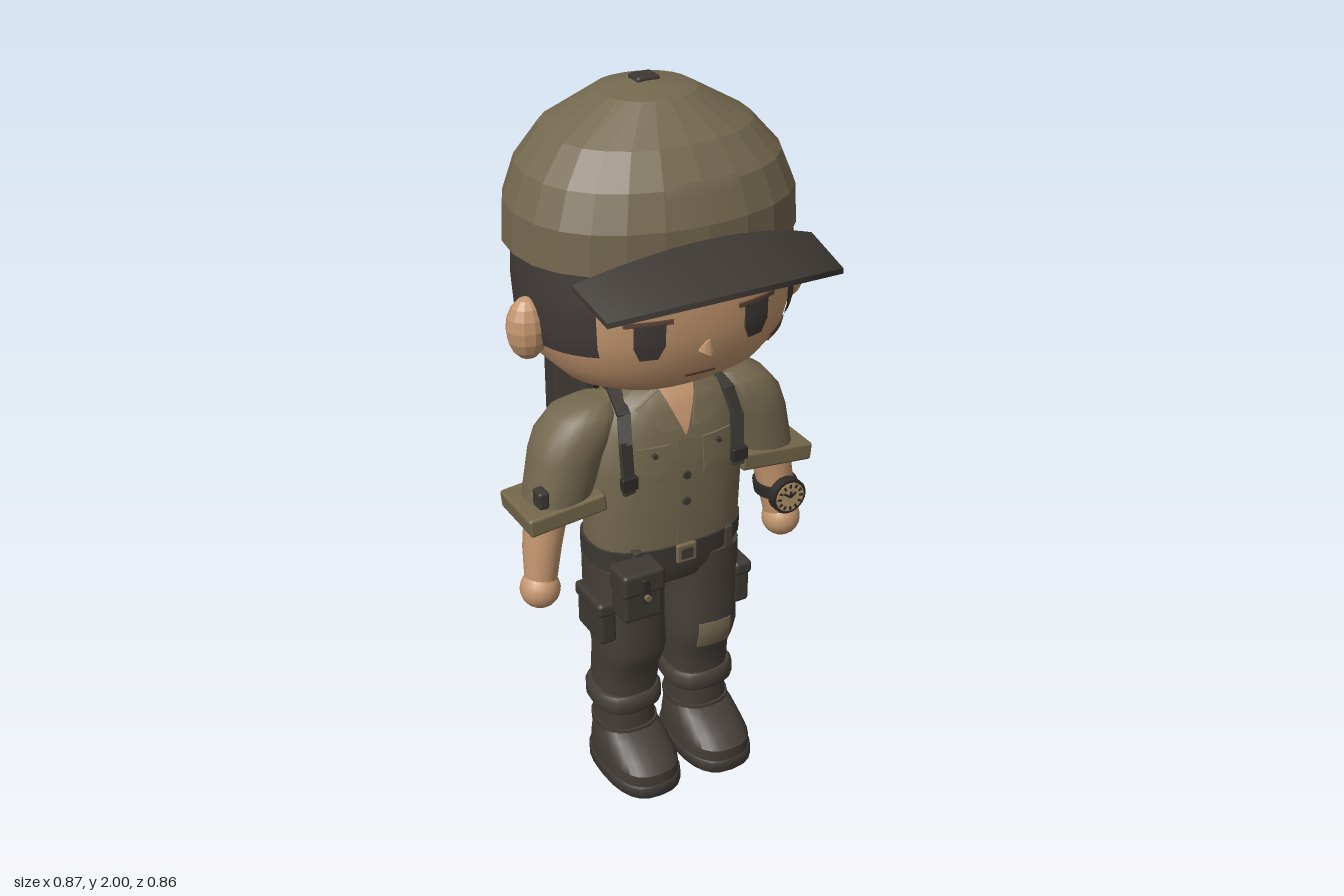
import * as THREE from 'three';
import { toCreasedNormals } from 'three/addons/utils/BufferGeometryUtils.js';
import { RoundedBoxGeometry } from 'three/addons/geometries/RoundedBoxGeometry.js';

const colour = (name, hex, side = THREE.FrontSide) => {
  const m = new THREE.MeshStandardMaterial({ color: hex, side });
  m.name = name;
  return m;
};

// Rings are [y, centre x, centre z, half width, half depth], bottom to top.
const span = (y, rx, front, back) => [y, 0, (front + back) / 2, rx, (front - back) / 2];
const HEAD = [span(1.235, 0.1, 0.02, -0.15), span(1.25, 0.19, 0.085, -0.2), span(1.29, 0.275, 0.14, -0.265),
  span(1.35, 0.332, 0.175, -0.31), span(1.43, 0.358, 0.188, -0.338), span(1.52, 0.362, 0.19, -0.35),
  span(1.62, 0.355, 0.18, -0.355), span(1.7, 0.34, 0.16, -0.34)];
const CAP = [span(1.615, 0.38, 0.195, -0.402), span(1.72, 0.374, 0.194, -0.402), span(1.81, 0.338, 0.165, -0.385),
  span(1.89, 0.268, 0.103, -0.345), span(1.972, 0.125, 0.0, -0.24), span(1.99, 0.03, -0.1, -0.16)];
const TORSO = [span(0.73, 0.218, 0.083, -0.19), span(0.8, 0.222, 0.085, -0.18), span(1.0, 0.228, 0.09, -0.172),
  span(1.12, 0.215, 0.08, -0.168), span(1.19, 0.17, 0.055, -0.152), span(1.225, 0.1, 0.03, -0.13)];

const power = (v, p) => Math.sign(v) * Math.abs(v) ** (2 / p);
function ringAt(rings, y) {
  let i = 0;
  while (i < rings.length - 2 && y > rings[i + 1][0]) i++;
  const f = THREE.MathUtils.clamp((y - rings[i][0]) / (rings[i + 1][0] - rings[i][0]), 0, 1);
  return rings[i].map((v, k) => v + (rings[i + 1][k] - v) * f);
}
function frontZ(rings, p, x, y) {
  const [, cx, cz, rx, rz] = ringAt(rings, y);
  return cz + rz * Math.max(0, 1 - Math.abs((x - cx) / rx) ** p) ** (1 / p);
}
function indexed(pos, idx) {
  const g = new THREE.BufferGeometry();
  g.setAttribute('position', new THREE.Float32BufferAttribute(pos, 3));
  g.setIndex(idx);
  return g;
}
// Closed solid through superelliptic rings
function loft(rings, { n = 24, p = 2.2, crease = 0.7 } = {}) {
  const pos = [], idx = [], last = rings.length - 1;
  for (const [y, cx, cz, rx, rz] of rings) for (let j = 0; j < n; j++) {
    const t = j / n * Math.PI * 2;
    pos.push(cx + rx * power(Math.sin(t), p), y, cz + rz * power(Math.cos(t), p));
  }
  for (const r of [rings[0], rings[last]]) pos.push(r[1], r[0], r[2]);
  for (let j = 0; j < n; j++) {
    const k = (j + 1) % n;
    for (let i = 0; i < last; i++) {
      const a = i * n + j, b = i * n + k;
      idx.push(a, b, b + n, a, b + n, a + n);
    }
    idx.push((last + 1) * n, k, j, (last + 1) * n + 1, last * n + j, last * n + k);
  }
  return toCreasedNormals(indexed(pos, idx), crease);
}
// Thin plate laid over the front of a lofted body; corners run bl, br, tr, tl
function plate(rings, p, c, off = 0.002, depth = 0.007) {
  const g = new THREE.BoxGeometry(1, 1, depth, 6, 6, 1), a = g.attributes.position;
  for (let i = 0; i < a.count; i++) {
    const u = a.getX(i) + 0.5, v = a.getY(i) + 0.5;
    const [x, y] = [0, 1].map(k => (c[0][k] * (1 - u) + c[1][k] * u) * (1 - v) + (c[3][k] * (1 - u) + c[2][k] * u) * v);
    a.setXYZ(i, x, y, frontZ(rings, p, x, y) + off + a.getZ(i));
  }
  return toCreasedNormals(g, 0.6);
}
function rect(x, y, w, h, turn = 0) {
  const c = Math.cos(turn), s = Math.sin(turn);
  return [[-1, -1], [1, -1], [1, 1], [-1, 1]].map(([i, j]) =>
    [x + i * w / 2 * c - j * h / 2 * s, y + i * w / 2 * s + j * h / 2 * c]);
}

export function createModel() {
  const root = new THREE.Group();
  const skin = colour('skin', 0xc4976f), shirt = colour('olive cloth', 0x74684f), trim = colour('light olive trim', 0x74674a);
  const hair = colour('dark hair', 0x403a36, THREE.DoubleSide), pants = colour('dark trousers', 0x463f38);
  const leather = colour('dark leather', 0x3d3833), boot = colour('boot brown', 0x423b35);
  const black = colour('near black', 0x2e2a28), brown = colour('brown marks', 0x5f4738), tan = colour('tan dial', 0xb59466);
  const add = (name, geo, mat, x = 0, y = 0, z = 0) => {
    const m = new THREE.Mesh(geo, mat);
    m.name = name;
    m.position.set(x, y, z);
    root.add(m);
    return m;
  };
  const rbox = (name, mat, x, y, z, w, h, d, r = 0.012) => add(name, new RoundedBoxGeometry(w, h, d, 2, r), mat, x, y, z);
  const disc = (name, mat, x, y, z, r, d) => {
    const m = add(name, new THREE.CylinderGeometry(r, r, d, 20), mat, x, y, z);
    m.rotation.x = Math.PI / 2;
    return m;
  };
  const strip = (name, mat, pts, w, d) => pts.slice(1).forEach((q, i) => {
    const a = new THREE.Vector3(...pts[i]), b = new THREE.Vector3(...q);
    const m = add(name, new THREE.BoxGeometry(w, d, a.distanceTo(b) + d * 0.6), mat);
    m.position.copy(a).lerp(b, 0.5);
    m.lookAt(b);
  });

  // Head and face
  add('head', loft(HEAD, { n: 40, p: 2.3, crease: 1 }), skin);
  add('neck', new THREE.CylinderGeometry(0.085, 0.09, 0.08, 20), skin, 0, 1.225, -0.055);
  const nose = add('nose', new THREE.ConeGeometry(0.024, 0.042, 4), skin, 0, 1.41, 0.198);
  nose.rotation.x = 0.5;
  const face = (name, mat, x, y, w, h, turn) => add(name, plate(HEAD, 2.3, rect(x, y, w, h, turn)), mat);
  for (const s of [-1, 1]) {
    const ear = add('ear', toCreasedNormals(new THREE.SphereGeometry(1, 12, 8), 0.02), skin, s * 0.375, 1.44, -0.045);
    ear.scale.set(0.056, 0.083, 0.049);
    face('eye', hair, s * 0.151, 1.453, 0.076, 0.062);
    add('eye lower', plate(HEAD, 2.3, [[-0.022, 1.388], [0.022, 1.388], [0.038, 1.424], [-0.038, 1.424]].map(([x, y]) => [x + s * 0.151, y])), hair);
    face('eyelid', brown, s * 0.153, 1.487, 0.12, 0.012);
    face('eyebrow', hair, s * 0.153, 1.532, 0.125, 0.022, s * -0.03);
  }
  face('mouth', brown, 0, 1.315, 0.085, 0.007);
  face('cheek smudge', brown, 0.255, 1.355, 0.068, 0.036, 0.3);

  // Hair shell around the sides and back, lower edge sloping down behind the ears
  const hp = [], hi = [], HN = 40, HV = 8, t0 = 0.78;
  for (let j = 0; j <= HN; j++) for (let i = 0; i <= HV; i++) {
    const t = t0 + (2 * Math.PI - 2 * t0) * j / HN;
    const low = 1.402 - 0.108 * THREE.MathUtils.clamp((0.05 - Math.cos(t)) / 0.85, 0, 1);
    const y = low + (1.63 - low) * i / HV, [, cx, cz, rx, rz] = ringAt(HEAD, y);
    hp.push(cx + (rx + 0.009) * power(Math.sin(t), 2.3), y, cz + (rz + 0.009) * power(Math.cos(t), 2.3));
    if (j < HN && i < HV) {
      const a = j * (HV + 1) + i, b = a + HV + 1;
      hi.push(a, b, b + 1, a, b + 1, a + 1);
    }
  }
  add('hair', toCreasedNormals(indexed(hp, hi), 1), hair);

  // Cap, button, front patch and arched brim
  add('cap', loft(CAP, { n: 24, p: 2.25, crease: 0.02 }), shirt);
  add('cap patch', plate(CAP, 2.25, rect(0, 1.77, 0.2, 0.1), -0.002), shirt);
  rbox('cap button', leather, 0, 1.99, -0.13, 0.064, 0.02, 0.056, 0.008);
  const brim = new THREE.BoxGeometry(2, 0.014, 1, 24, 1, 4), ba = brim.attributes.position;
  for (let i = 0; i < ba.count; i++) {
    const u = ba.getX(i), v = ba.getZ(i) + 0.5, c = 1 - u * u;
    ba.setXYZ(i, u * (0.335 - 0.01 * v), ba.getY(i) + 1.605 - 0.035 * v + 0.073 * c, 0.13 + 0.065 * c + v * (0.16 + 0.072 * c));
  }
  add('brim', toCreasedNormals(brim, 0.5), leather);

  // Shirt with open collar, pockets and buttons
  add('shirt', loft(TORSO, { p: 2.5 }), shirt);
  add('open neck', plate(TORSO, 2.5, [[0, 1.1], [0, 1.1], [0.05, 1.222], [-0.05, 1.222]], 0.003), skin);
  add('placket', plate(TORSO, 2.5, rect(0, 0.93, 0.045, 0.32), -0.002), shirt);
  for (const s of [-1, 1]) {
    const c = [[0.02, 1.125], [0.065, 1.125], [0.125, 1.185], [0.05, 1.222]].map(([x, y]) => [s * x, y]);
    add('collar', plate(TORSO, 2.5, s > 0 ? c : [c[1], c[0], c[3], c[2]], 0.008), shirt);
    add('chest pocket', plate(TORSO, 2.5, rect(s * 0.095, 1.03, 0.085, 0.1), 0.001), shirt);
    add('pocket flap', plate(TORSO, 2.5, rect(s * 0.095, 1.072, 0.092, 0.028), 0.006), shirt);
    disc('pocket button', leather, s * 0.095, 1.066, 0.093, 0.007, 0.012);
  }
  for (const y of [0.905, 0.985]) disc('shirt button', leather, 0, y, frontZ(TORSO, 2.5, 0, y) + 0.004, 0.011, 0.01);

  // Arms
  for (const s of [-1, 1]) {
    add('sleeve', loft([[0.92, 0.315, -0.055, 0.085, 0.09], [1.065, 0.277, -0.057, 0.096, 0.097], [1.12, 0.252, -0.058, 0.102, 0.096],
      [1.17, 0.225, -0.058, 0.087, 0.082], [1.195, 0.2, -0.058, 0.05, 0.05]].map(r => [r[0], s * r[1], ...r.slice(2)]), { n: 20, p: 2.4 }), shirt);
    rbox('sleeve cuff', trim, s * 0.318, 0.923, -0.055, 0.222, 0.052, 0.19, 0.009).rotation.z = -0.1 * s;
    add('forearm', loft([[0.69, s * 0.374, -0.035, 0.042, 0.044], [0.8, s * 0.362, -0.043, 0.052, 0.054],
      [0.92, s * 0.34, -0.05, 0.06, 0.06]], { n: 18, p: 2 }), skin);
    add('hand', new THREE.SphereGeometry(0.055, 16, 12), skin, s * 0.378, 0.682, -0.03);
  }
  rbox('sleeve tab', leather, -0.385, 0.985, 0.015, 0.03, 0.05, 0.045, 0.008);

  // Wristwatch
  add('watch strap', loft([[0.768, 0.366, -0.041, 0.062, 0.064], [0.803, 0.361, -0.041, 0.063, 0.065]], { p: 2 }), black);
  disc('watch case', black, 0.36, 0.785, 0.026, 0.053, 0.028);
  disc('watch dial', tan, 0.36, 0.785, 0.04, 0.044, 0.006);
  for (let i = 0; i < 12; i++) {
    const a = i * Math.PI / 6;
    add('watch tick', new THREE.BoxGeometry(0.006, 0.011, 0.004), black, 0.36 + 0.035 * Math.sin(a), 0.785 + 0.035 * Math.cos(a), 0.044).rotation.z = -a;
  }
  for (const [a, l] of [[-0.9, 0.026], [0.9, 0.022], [0.1, 0.018]])
    add('watch hand', new THREE.BoxGeometry(0.006, l, 0.004), black, 0.36 + l / 2 * Math.sin(a), 0.785 + l / 2 * Math.cos(a), 0.045).rotation.z = -a;

  // Belt, buckle and hip pouch
  add('belt', loft([[0.72, 0, -0.055, 0.226, 0.143], [0.77, 0, -0.053, 0.228, 0.143]], { p: 2.5 }), leather);
  rbox('buckle', trim, 0, 0.745, 0.091, 0.06, 0.056, 0.014, 0.005);
  rbox('buckle middle', leather, 0, 0.745, 0.098, 0.036, 0.032, 0.006, 0.002);
  for (const s of [-1, 1]) rbox('belt loop', pants, s * 0.14, 0.745, 0.071, 0.022, 0.07, 0.025, 0.004);
  rbox('hip pouch', leather, -0.16, 0.685, 0.108, 0.115, 0.145, 0.085);
  rbox('hip pouch flap', leather, -0.16, 0.73, 0.112, 0.125, 0.07, 0.092);
  rbox('hip pouch strap', black, -0.16, 0.71, 0.16, 0.022, 0.075, 0.012, 0.004);
  disc('hip pouch stud', trim, -0.16, 0.695, 0.17, 0.009, 0.014);

  // Trousers with bent knees, thigh pockets and boots
  add('hips', loft([[0.635, 0, -0.058, 0.19, 0.11], [0.68, 0, -0.056, 0.218, 0.125], [0.74, 0, -0.055, 0.22, 0.13]], { p: 2.6 }), pants);
  const LEG = s => [[0.2, s * 0.116, -0.062, 0.08, 0.085], [0.29, s * 0.114, -0.064, 0.088, 0.095], [0.345, s * 0.112, -0.058, 0.091, 0.094],
    [0.39, s * 0.112, -0.042, 0.095, 0.1], [0.43, s * 0.113, -0.036, 0.099, 0.103], [0.5, s * 0.115, -0.048, 0.102, 0.11],
    [0.6, s * 0.116, -0.055, 0.104, 0.119], [0.7, s * 0.113, -0.056, 0.106, 0.124]];
  for (const s of [-1, 1]) {
    const x = s * 0.117;
    add('trouser leg', loft(LEG(s), { n: 20, p: 2.5 }), pants);
    add('trouser cuff', loft([[0.215, x, -0.063, 0.095, 0.1], [0.225, x, -0.063, 0.101, 0.106], [0.26, x, -0.063, 0.101, 0.106],
      [0.272, x, -0.063, 0.094, 0.098]], { n: 20, p: 2.5 }), pants);
    add('boot shaft', loft([[0.08, x, -0.062, 0.086, 0.093], [0.15, x, -0.062, 0.085, 0.09], [0.22, x, -0.062, 0.08, 0.085]], { n: 20, p: 2.4 }), boot);
    add('boot foot', loft([[0.035, x, 0, 0.1, 0.16], [0.075, x, 0, 0.1, 0.158], [0.1, x, -0.015, 0.096, 0.138],
      [0.13, x, -0.04, 0.09, 0.105], [0.155, x, -0.06, 0.08, 0.08]], { n: 24, p: 2.6 }), boot);
    add('boot sole', loft([[0, x, 0, 0.1, 0.16], [0.008, x, 0, 0.106, 0.166], [0.036, x, 0, 0.106, 0.166], [0.042, x, 0, 0.102, 0.162]], { p: 2.6 }), leather);
    add('boot ankle strap', loft([[0.135, x, -0.06, 0.089, 0.096], [0.155, x, -0.06, 0.089, 0.096]], { n: 20, p: 2.4 }), boot);
    rbox('thigh pocket', leather, s * 0.21, 0.545, -0.032, 0.05, 0.125, 0.145);
    rbox('thigh pocket flap', leather, s * 0.213, 0.595, -0.032, 0.056, 0.042, 0.155);
  }
  add('knee patch', plate(LEG(1), 2.5, rect(0.112, 0.423, 0.1, 0.082, -0.03), 0), shirt);

  // Backpack, with pockets, buckle, carry handle and shoulder straps
  rbox('backpack', leather, 0, 1.02, -0.268, 0.33, 0.37, 0.185, 0.025);
  rbox('backpack lid', leather, 0, 1.095, -0.36, 0.35, 0.22, 0.088, 0.018);
  rbox('backpack lower pocket', leather, 0, 0.91, -0.36, 0.25, 0.13, 0.086, 0.016);
  rbox('lower pocket flap', leather, 0, 0.96, -0.364, 0.265, 0.035, 0.088, 0.01);
  for (const s of [-1, 1]) rbox('backpack side pocket', leather, s * 0.165, 0.925, -0.272, 0.04, 0.1, 0.14);
  rbox('backpack strap', black, 0, 1.02, -0.409, 0.03, 0.17, 0.014, 0.004);
  rbox('backpack buckle', leather, 0, 1.03, -0.42, 0.058, 0.04, 0.018, 0.005);
  add('backpack patch', new THREE.BoxGeometry(0.08, 0.08, 0.008), trim, 0.085, 1.105, -0.408).rotation.z = 0.15;
  const arch = new THREE.CatmullRomCurve3([[-0.06, 1.19], [-0.05, 1.243], [0.05, 1.243], [0.06, 1.19]].map(([x, y]) => new THREE.Vector3(x, y, -0.265)));
  add('carry handle', new THREE.TubeGeometry(arch, 16, 0.009, 8), leather);
  for (const s of [-1, 1]) {
    strip('shoulder strap', leather, [[0.12, 1.13, -0.18], [0.13, 1.2, -0.14], [0.14, 1.214, -0.05], [0.155, 1.176, 0.038],
      [0.166, 1.11, 0.066], [0.164, 0.97, 0.078]].map(([x, y, z]) => [s * x, y, z]), 0.034, 0.014);
    rbox('strap buckle', black, s * 0.165, 1.0, 0.083, 0.046, 0.038, 0.02, 0.004);
  }
  return root;
}
